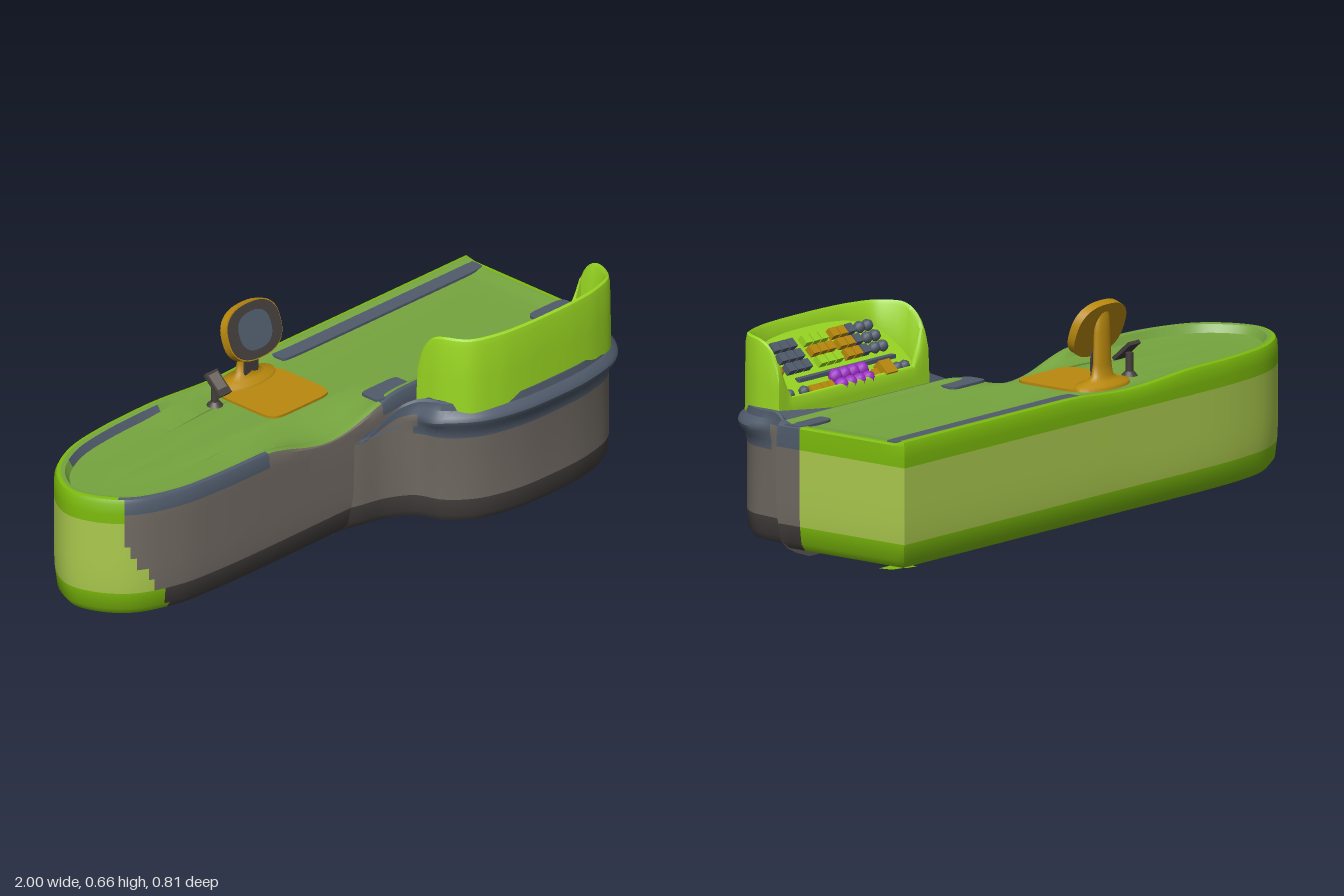
import * as THREE from 'three';
import { toCreasedNormals } from 'three/addons/utils/BufferGeometryUtils.js';

const { smoothstep, lerp } = THREE.MathUtils;
const mat = (name, color) => {
  const m = new THREE.MeshStandardMaterial({ color });
  m.name = name;
  return m;
};

// Samples a plan outline (x, z): a smooth curve closed by straight segments
function outline(curvePts, n, closing) {
  const c = new THREE.CatmullRomCurve3(curvePts.map(([x, z]) => new THREE.Vector3(x, 0, z)), false, 'centripetal');
  return c.getSpacedPoints(n).map(p => [p.x, p.z]).concat(closing);
}

// Lofts an outline through rings [height, inset], each a number or a rule; paint(x, y, z, band) picks a material
function loft(pts, rings, paint, materials, capBottom, capTop) {
  const n = pts.length, pos = [], buckets = materials.map(() => []);
  const value = (v, x, z) => (typeof v === 'function' ? v(x, z) : v);
  const normals = pts.map((p, i) => {
    const unit = (a, b) => {
      const dx = b[0] - a[0], dz = b[1] - a[1], l = Math.hypot(dx, dz) || 1;
      return [-dz / l, dx / l];
    };
    const u = unit(pts[(i + n - 1) % n], p), v = unit(p, pts[(i + 1) % n]);
    const k = Math.max(0.5, 1 + u[0] * v[0] + u[1] * v[1]);
    return [(u[0] + v[0]) / k, (u[1] + v[1]) / k];
  });
  rings.forEach(([y, inset]) => pts.forEach((p, i) => {
    const d = value(inset, p[0], p[1]), x = p[0] - normals[i][0] * d, z = p[1] - normals[i][1] * d;
    pos.push(x, value(y, x, z), z);
  }));
  for (let r = 0; r < rings.length - 1; r++) {
    for (let i = 0; i < n; i++) {
      const j = (i + 1) % n, a = r * n + i, b = r * n + j, c = b + n, d = a + n;
      const mid = k => (pos[a * 3 + k] + pos[b * 3 + k] + pos[c * 3 + k] + pos[d * 3 + k]) / 4;
      buckets[paint(mid(0), mid(1), mid(2), r)].push(a, b, c, a, c, d);
    }
  }
  const cap = (r, up, index) => {
    const o = r * n, flat = pts.map((_, i) => new THREE.Vector2(pos[(o + i) * 3], pos[(o + i) * 3 + 2]));
    THREE.ShapeUtils.triangulateShape(flat, []).forEach(([a, b, c]) => {
      const area = (flat[b].x - flat[a].x) * (flat[c].y - flat[a].y) - (flat[b].y - flat[a].y) * (flat[c].x - flat[a].x);
      buckets[index].push(...((area < 0) === up ? [o + a, o + b, o + c] : [o + a, o + c, o + b]));
    });
  };
  cap(0, false, capBottom);
  cap(rings.length - 1, true, capTop);
  const g = new THREE.BufferGeometry();
  g.setAttribute('position', new THREE.Float32BufferAttribute(pos, 3));
  g.setIndex(buckets.flat());
  const out = toCreasedNormals(g, 0.6);
  let start = 0;
  buckets.forEach((b, i) => {
    if (b.length) out.addGroup(start, b.length, i);
    start += b.length;
  });
  return new THREE.Mesh(out, materials);
}

// Rounded slab: a superellipse, squarer for a smaller power
function slab(rx, ry, depth, power = 0.8) {
  const s = new THREE.Shape(), f = v => Math.sign(v) * Math.abs(v) ** power;
  for (let i = 0; i < 40; i++) {
    const a = i / 40 * Math.PI * 2;
    s[i ? 'lineTo' : 'moveTo'](rx * f(Math.cos(a)), ry * f(Math.sin(a)));
  }
  return toCreasedNormals(new THREE.ExtrudeGeometry(s, { depth, bevelEnabled: false }), 0.6);
}

export function createModel() {
  const model = new THREE.Group();
  const green = mat('green', 0x7dbb0c), pale = mat('pale green', 0xaccb4e), lime = mat('lime', 0x9ad822);
  const topGreen = mat('counter green', 0x76a53f), slate = mat('slate', 0x505b6b), taupe = mat('taupe', 0x716a63);
  const charcoal = mat('charcoal', 0x423e3c), gold = mat('gold', 0xb9890e), purple = mat('purple', 0x9c2fc4);
  const add = (name, geo, m, x, y, z, parent = model) => {
    const mesh = new THREE.Mesh(geo, m);
    mesh.name = name;
    mesh.position.set(x, y, z);
    parent.add(mesh);
    return mesh;
  };

  // Long counter: rounded left end, square right end, raised rim dipping at the front
  const plan = outline([[1, -0.405], [0.5, -0.405], [0, -0.405], [-0.62, -0.4], [-0.8, -0.365], [-0.93, -0.285],
    [-0.995, -0.17], [-0.975, -0.07], [-0.9, 0.025], [-0.76, 0.082], [-0.6, 0.1], [0, 0.1], [0.5, 0.1], [1, 0.1]],
  220, [[1, 0.05], [1, 0.01], [1, -0.1], [1, -0.2], [1, -0.3], [1, -0.36]]);
  const rim = (y, depth) => (x, z) => {
    const t = Math.min(1, Math.abs(x + 0.1) / 0.32);
    const top = x > 0.9 && z > -0.37 && z < 0.06 ? Math.min(y, 0.4) : y;
    return top - depth * Math.cos(t * Math.PI / 2) ** 2 * (z > -0.15 ? 1 : 0.25);
  };
  const well = (y, drop) => (x, z) => rim(y, drop)(x, z) - 0.012 * smoothstep(-x, 0.25, 0.5);
  const counter = loft(plan, [[0, 0.115], [0.003, 0.065], [0.012, 0.028], [0.035, 0.01], [0.09, 0.003], [0.13, 0.001],
    [0.17, 0], [0.21, 0], [0.25, 0], [0.33, 0], [rim(0.36, 0.025), 0], [rim(0.395, 0.05), 0.002],
    [rim(0.408, 0.062), 0.008], [rim(0.411, 0.062), 0.02], [rim(0.408, 0.058), 0.034], [well(0.396, 0.045), 0.048],
    [well(0.393, 0.03), 0.09], [well(0.393, 0), 0.15]],
  (x, y, z, r) => {
    if (r === 14 && z < -0.3 && x > -0.88 && x < -0.38) return 2;
    if (r > 12) return 3;
    const front = x > 0 ? z > 0.01 : z > -0.17 && x > -0.92 + Math.max(0, 0.24 - y) * 0.65;
    if (!front) return r > 3 && r < 9 ? 1 : 0;
    if (r < 4) return 5;
    if (r < 9) return 4;
    if (x > -0.38 && x < 0.12) return r < 12 ? 4 : 3;
    return r > 9 || x > 0.5 ? 2 : 4;
  }, [green, pale, slate, topGreen, taupe, charcoal], 2, 3);
  counter.name = 'counter';
  model.add(counter);

  // Bulging front cabinet with a flared collar that fades out at both ends
  const bulgePlan = outline([[-0.1, 0.07], [0, 0.104], [0.1, 0.13], [0.175, 0.18], [0.21, 0.26], [0.29, 0.33],
    [0.42, 0.369], [0.575, 0.378], [0.73, 0.369], [0.86, 0.33], [0.925, 0.26], [0.942, 0.17], [0.955, 0.06]],
  90, [[0.8, 0.05], [0.5, 0.05], [0.2, 0.05], [0.05, 0.05]]);
  const lowered = y => (x, z) => lerp(y, 0.29 + (y - 0.29) * 0.25, THREE.MathUtils.clamp((0.2 - x) / 0.2, 0, 1))
    - (y - 0.29) * 0.25 * (1 - smoothstep(z, 0.1, 0.15));
  const flare = d => (x, z) => d * smoothstep(x, 0.1, 0.21) * smoothstep(z, 0.12, 0.25);
  const bulge = loft(bulgePlan, [[0.004, 0.04], [0.012, 0.018], [0.035, 0.004], [0.09, 0], [0.3, 0],
    [lowered(0.33), flare(-0.006)], [lowered(0.352), flare(-0.024)], [lowered(0.366), flare(-0.028)],
    [lowered(0.38), flare(-0.023)], [lowered(0.395), flare(-0.004)], [lowered(0.418), 0], [lowered(0.422), 0.008]],
  (x, y, z, r) => {
    if (r < 3) return 0;
    return r < 4 || (r < 8 && (x < 0.17 || (x > 0.9 && z < 0.16))) ? 1 : 2;
  }, [charcoal, taupe, slate], 0, 2);
  bulge.name = 'frontCabinet';
  model.add(bulge);

  // Display tray: curved wall, open towards the back, with a sloping floor
  const trayPlan = outline([[0.21, 0.148], [0.21, 0.19], [0.216, 0.25], [0.26, 0.325], [0.35, 0.36], [0.45, 0.373],
    [0.57, 0.376], [0.69, 0.373], [0.79, 0.36], [0.88, 0.325], [0.924, 0.25], [0.93, 0.19], [0.93, 0.148]],
  80, [0.91, 0.89, 0.86, 0.75, 0.57, 0.39, 0.28, 0.25, 0.23].map(x => [x, 0.148]));
  const wall = (x, z) => {
    const t = Math.min(1, Math.max(0, (0.27 - z) / 0.125));
    const side = 0.42 + 0.215 * (1 - t ** 2.6) ** 0.385;
    return z < 0.2 ? lerp(0.452, side, smoothstep(Math.abs(x - 0.57), 0.29, 0.345)) : side;
  };
  const floorY = z => 0.43 + 0.92 * (z - 0.17);
  const rise = t => (x, z) => lerp(0.37, wall(x, z), t);
  const tray = loft(trayPlan, [[0.37, 0], [rise(0.5), 0.001], [rise(0.9), 0.003], [rise(0.98), 0.007], [rise(1), 0.014],
    [(x, z) => Math.max(floorY(z), wall(x, z) - 0.012), 0.022], [(x, z) => floorY(z), 0.028]],
  () => 0, [lime], 0, 0);
  tray.name = 'displayTray';
  model.add(tray);

  // Goods lying on the sloping floor of the tray
  const goods = new THREE.Group();
  goods.name = 'goods';
  model.add(goods);
  const ball = new THREE.SphereGeometry(0.018, 8, 6), pack = new THREE.BoxGeometry(0.029, 0.026, 0.028);
  const put = (geo, m, x, z, s = 1) => {
    const g = add('item', geo, m, x, floorY(z) + 0.01, z, goods);
    g.rotation.x = -0.74;
    g.scale.setScalar(s);
    return g;
  };
  add('trayShelf', new THREE.BoxGeometry(0.46, 0.012, 0.02), slate, 0.53, floorY(0.216) + 0.006, 0.216, goods);
  put(pack, gold, 0.385, 0.182, 1.8);
  for (let i = 0; i < 4; i++) {
    for (const z of [0.174, 0.2]) put(ball, purple, 0.475 + i * 0.042, z, 1.35);
  }
  [0.29, 0.325, 0.77, 0.84].forEach(x => put(ball, slate, x, 0.182));
  [0.435, 0.65, 0.68, 0.71, 0.735].forEach(x => put(pack, gold, x, 0.18, 0.85));
  const rows = [[slate, 0.32, 2], [gold, 0.41, 3], [lime, 0.54, 3], [slate, 0.69, 3], [gold, 0.82, 2]];
  for (const z of [0.245, 0.275, 0.305]) {
    rows.forEach(([m, x, count], k) => {
      for (let i = 0; i < count; i++) {
        const swap = k === 2 ? z > 0.26 && z < 0.3 && gold : k === 1 && i === 0 && slate;
        put(k === 0 || k === 4 ? ball : pack, swap || m, x + i * 0.038, z, 1.1);
      }
    });
  }

  // Thin inlays on the counter top
  const plate = (name, x0, x1, z0, z1, m, power) => {
    const p = add(name, slab((x1 - x0) / 2, (z1 - z0) / 2, 0.008, power), m, (x0 + x1) / 2, 0.394, (z0 + z1) / 2);
    p.rotation.x = -Math.PI / 2;
  };
  plate('backInlay', 0.11, 0.985, -0.385, -0.312, slate, 0.2);
  plate('frontInlayLeft', 0.84, 0.995, 0.005, 0.09, slate, 0.4);
  plate('frontInlayRight', 0.11, 0.265, 0.005, 0.085, slate, 0.3);
  plate('goldMat', -0.2, 0.062, -0.31, -0.06, gold, 0.3);

  // Screen on a flared pedestal
  const stem = new THREE.LatheGeometry([[0.115, 0], [0.11, 0.012], [0.07, 0.02], [0.045, 0.035], [0.038, 0.07],
    [0.034, 0.17], [0.028, 0.24], [0, 0.262]].map(([r, y]) => new THREE.Vector2(r, y)), 28);
  stem.scale(1, 1, 0.5);
  add('screenStem', stem, gold, -0.06, 0.397, -0.31);
  add('stemFront', slab(0.03, 0.045, 0.006, 0.4), charcoal, -0.06, 0.465, -0.294);
  const head = new THREE.Group();
  head.name = 'screenHead';
  head.position.set(-0.06, 0.577, -0.284);
  head.rotation.x = -0.34;
  model.add(head);
  add('screenShell', slab(0.115, 0.09, 0.028), gold, 0, 0, -0.02, head);
  add('screenBezel', slab(0.111, 0.086, 0.005), charcoal, 0, 0, 0.006, head);
  add('screenGlass', slab(0.068, 0.06, 0.003), slate, 0, 0, 0.01, head);

  // Small card reader on a post
  add('readerBase', new THREE.CylinderGeometry(0.014, 0.026, 0.014, 16), charcoal, -0.243, 0.4, -0.267);
  add('readerPost', new THREE.CylinderGeometry(0.012, 0.012, 0.07, 12), charcoal, -0.243, 0.43, -0.267);
  const pad = add('readerPad', new THREE.BoxGeometry(0.052, 0.085, 0.012), charcoal, -0.243, 0.47, -0.255);
  pad.rotation.x = -0.85;
  add('readerFace', new THREE.BoxGeometry(0.038, 0.055, 0.003), taupe, 0, 0.006, 0.007, pad);
  return model;
}
